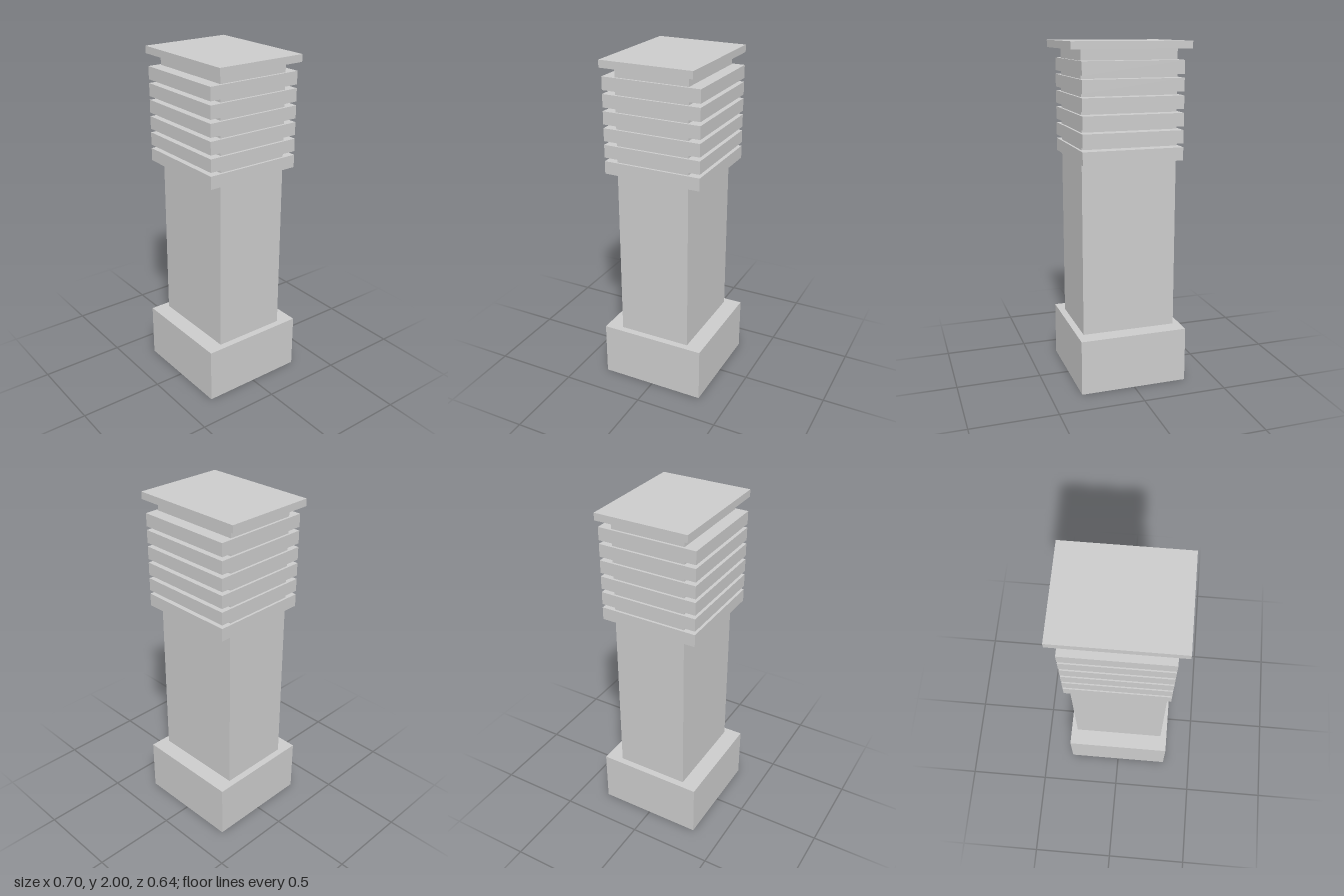
import * as THREE from 'three';

export function createModel() {
  const model = new THREE.Group();
  const material = new THREE.MeshStandardMaterial({ color: 0xcccccc, flatShading: true });

  // Centred block spanning bottom to top
  function block(name, width, depth, bottom, top) {
    const mesh = new THREE.Mesh(new THREE.BoxGeometry(width, top - bottom, depth), material);
    mesh.name = name;
    mesh.position.y = (bottom + top) / 2;
    model.add(mesh);
  }

  block('base', 0.64, 0.64, 0, 0.327);
  block('shaft', 0.56, 0.44, 0.327, 1.958);
  block('cap', 0.696, 0.55, 1.958, 2);

  // Stack of louvre slabs around the upper shaft
  for (let i = 0; i < 6; i++) {
    const bottom = 1.34 + i * 0.0965;
    block(`louvre${i + 1}`, 0.588, 0.588, bottom, bottom + 0.075);
  }

  return model;
}
